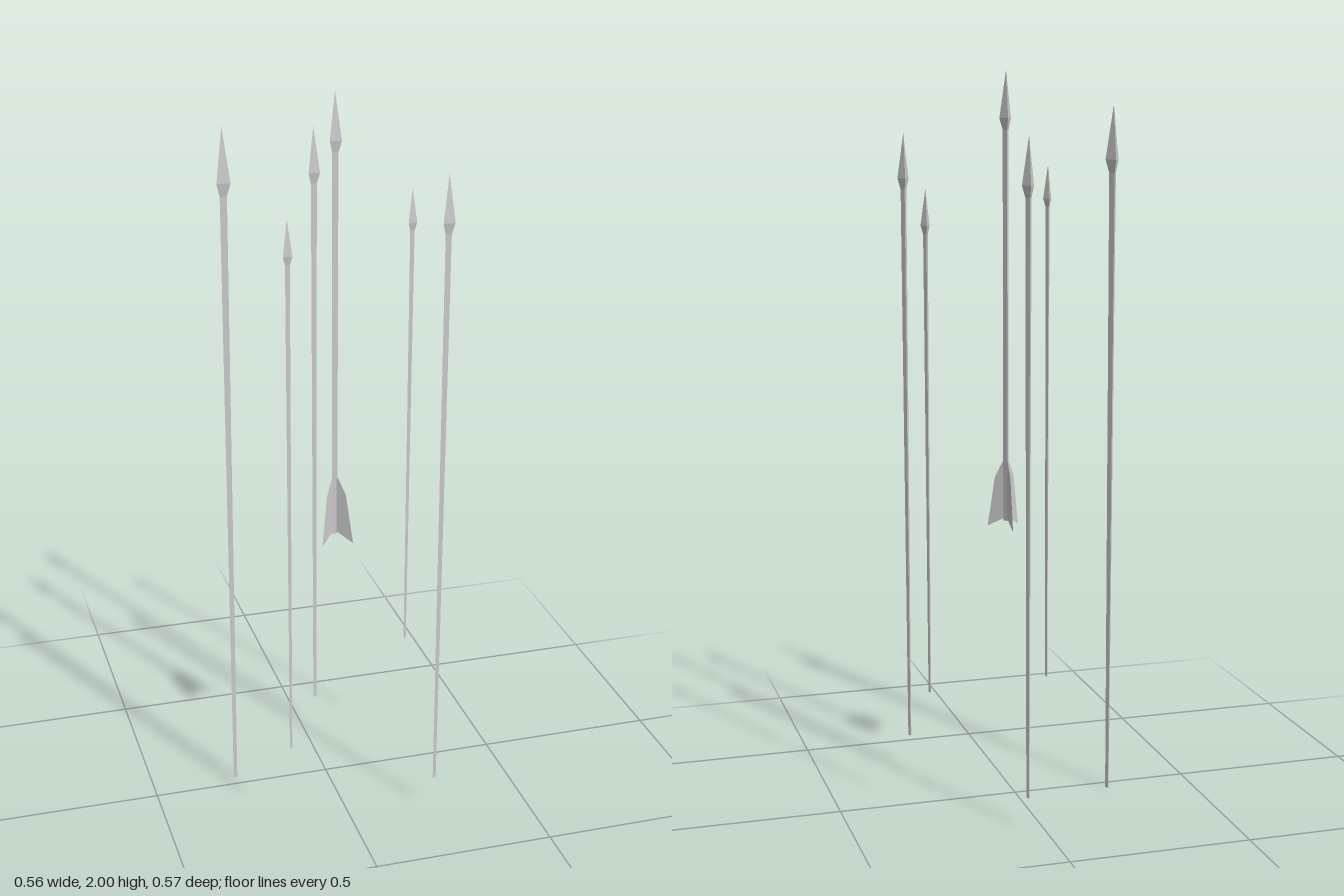
import * as THREE from 'three';

const grey = new THREE.MeshStandardMaterial({ color: 0xcccccc, flatShading: true });
const thin = new THREE.MeshStandardMaterial({ color: 0xcccccc, flatShading: true, side: THREE.DoubleSide });

// Three-sided prism or pyramid with one corner pointing back
function prism(name, rTop, rBottom, yTop, yBottom, open = false) {
  const geo = new THREE.CylinderGeometry(rTop, rBottom, yTop - yBottom, 3, 1, open);
  geo.rotateY(Math.PI);
  geo.translate(0, (yTop + yBottom) / 2, 0);
  const mesh = new THREE.Mesh(geo, grey);
  mesh.name = name;
  return mesh;
}

// Tapered shaft with a pyramid head and a short neck; s scales the thickness
function arrow(x, z, bottom, top, s, rTail = 0.006 * s) {
  const group = new THREE.Group();
  group.name = 'arrow';
  const wide = top - 0.145 * s, neck = wide - 0.035 * s;
  group.add(
    prism('arrowTip', 0, 0.0213 * s, top, wide, true),
    prism('arrowNeck', 0.0213 * s, 0.011 * s, wide, neck, true),
    prism('arrowShaft', 0.011 * s, rTail, neck, bottom),
  );
  group.position.set(x, 0, z);
  return group;
}

export function createModel() {
  const model = new THREE.Group();
  model.name = 'arrows';

  // Plain arrows: x, z, bottom, top, thickness
  for (const a of [
    [-0.262, -0.038, 0, 1.91, 1],
    [-0.169, 0.245, 0.25, 1.74, 0.65],
    [0.042, -0.267, 0.09, 1.84, 0.87],
    [0.238, 0.272, 0.1, 1.83, 0.85],
    [0.266, -0.09, 0.35, 1.7, 0.65],
  ]) model.add(arrow(...a));

  // Central arrow, cut shorter and carrying the feathers
  const main = arrow(0.013, 0.038, 0.78, 2, 0.87, 0.009);
  main.name = 'featheredArrow';
  const fin = new THREE.Shape([
    [0, 0.79], [0.057, 0.76], [0.035, 0.9], [0.012, 0.945], [0, 0.945],
  ].map(([r, y]) => new THREE.Vector2(r, y)));
  for (const degrees of [92, -40, 220]) {
    const feather = new THREE.Mesh(new THREE.ShapeGeometry(fin), thin);
    feather.name = 'feather';
    feather.rotation.y = THREE.MathUtils.degToRad(degrees);
    main.add(feather);
  }
  model.add(main);
  return model;
}
